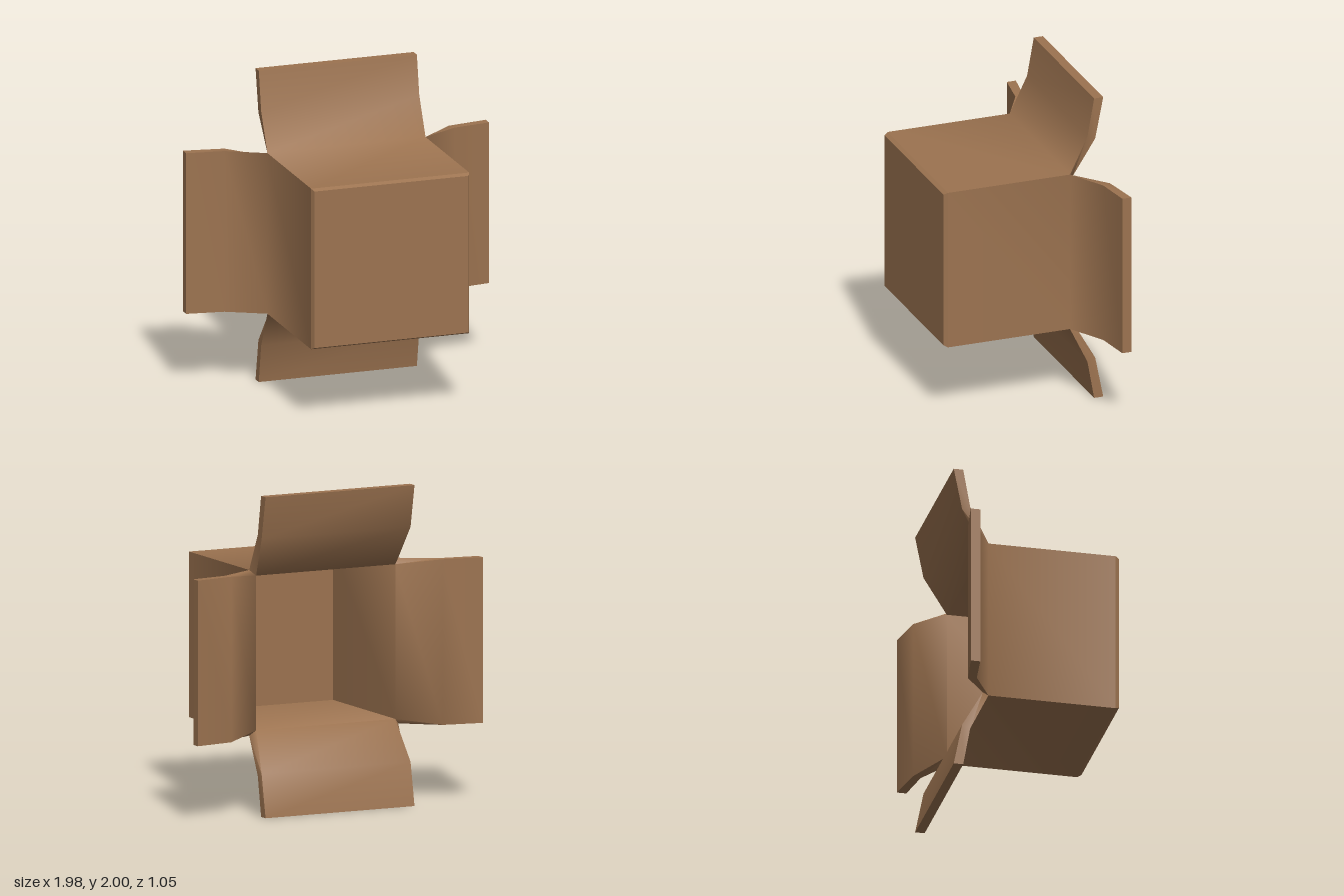
import * as THREE from 'three';
import { toCreasedNormals } from 'three/addons/utils/BufferGeometryUtils.js';

const HALF = 0.516;   // outer half width of the box
const INNER = 0.482;  // inner half width of the opening
const FLOOR = 0.5;    // z where the walls meet the closed panel

// One wall with its bent flap, pointing along +y, as strips along a closed path.
function wallAndFlap({ tip, bendZ, tipZ }) {
  // each path point: [distance from axis, z, half width]
  const path = [
    [HALF, FLOOR, HALF],
    [HALF, -0.305, HALF],
    [0.752, bendZ, HALF],
    [tip, tipZ, HALF],
    [tip, tipZ - 0.06, HALF],
    [0.732, bendZ - 0.051, HALF],
    [INNER, -0.332, INNER],
    [INNER, FLOOR, INNER],
  ];
  const positions = [];
  const point = (i, side) => [side * path[i][2], path[i][0], path[i][1]];
  const quad = (a, b, c, d) => positions.push(...a, ...b, ...c, ...a, ...c, ...d);

  // outer wall, outer flap, tip, inner flap, inner wall
  for (let i = 0; i < path.length - 1; i++) {
    quad(point(i, -1), point(i, 1), point(i + 1, 1), point(i + 1, -1));
  }
  // side edges of the flap
  for (const [o, p, q, r] of [[1, 2, 5, 6], [2, 3, 4, 5]]) {
    quad(point(o, -1), point(p, -1), point(q, -1), point(r, -1));
    quad(point(r, 1), point(q, 1), point(p, 1), point(o, 1));
  }
  const geometry = new THREE.BufferGeometry();
  geometry.setAttribute('position', new THREE.Float32BufferAttribute(positions, 3));
  return toCreasedNormals(geometry, THREE.MathUtils.degToRad(68));
}

export function createModel() {
  const box = new THREE.Group();
  box.name = 'openBox';
  const cardboard = new THREE.MeshStandardMaterial({ color: 0x9c7350 });
  cardboard.name = 'cardboard brown';

  // four walls, each continuing into a folded-out flap
  const upright = wallAndFlap({ tip: 1.0, bendZ: -0.42, tipZ: -0.464 });
  const sideways = wallAndFlap({ tip: 0.988, bendZ: -0.434, tipZ: -0.468 });
  ['top', 'right', 'bottom', 'left'].forEach((side, i) => {
    // a quarter turn from +y leads to -x, the model's right
    const mesh = new THREE.Mesh(i % 2 ? sideways : upright, cardboard);
    mesh.name = `${side}WallAndFlap`;
    mesh.rotation.z = i * Math.PI / 2;
    box.add(mesh);
  });

  // closed front panel with bevelled edges
  const bevelled = new THREE.CylinderGeometry(0.503 * Math.SQRT2, HALF * Math.SQRT2, 0.025, 4);
  bevelled.rotateY(Math.PI / 4).rotateX(Math.PI / 2);
  const panelGeometry = bevelled.toNonIndexed();
  panelGeometry.computeVertexNormals();
  const panel = new THREE.Mesh(panelGeometry, cardboard);
  panel.name = 'frontPanel';
  panel.position.z = FLOOR + 0.0125;
  box.add(panel);

  box.position.y = 1;
  const model = new THREE.Group();
  model.name = 'cardboardBox';
  model.add(box);
  return model;
}
